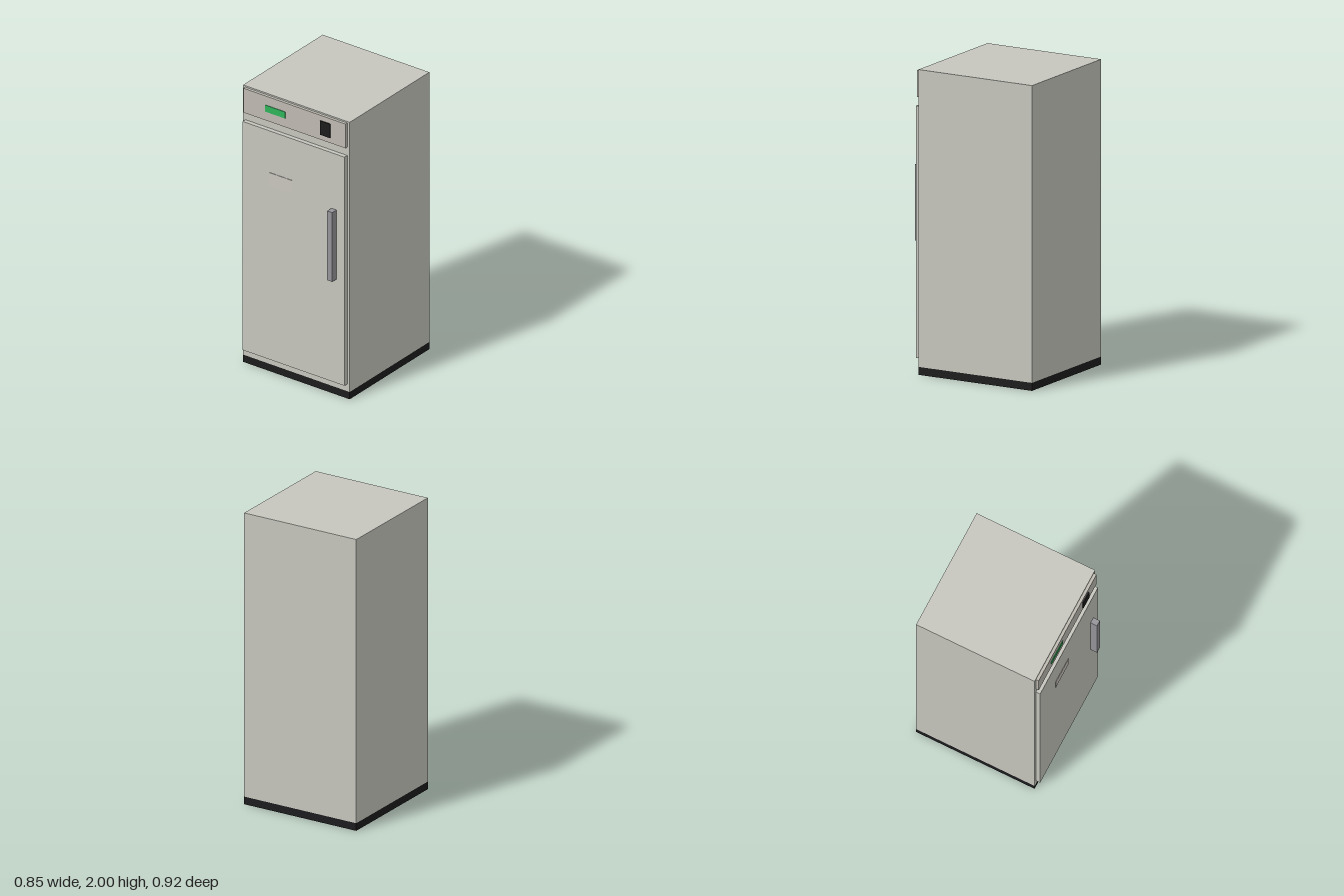
import * as THREE from 'three';

export function createModel() {
  const model = new THREE.Group();
  model.name = 'cabinet';

  const paint = (color) => new THREE.MeshStandardMaterial({ color });
  const shell = paint(0xc6c6be);
  const trim = paint(0xbfbbb2);
  const black = paint(0x1c1c1e);
  const green = paint(0x2fb45a);
  const metal = paint(0x95959a);
  const label = paint(0xcac5be);

  // Box given by its extents along each axis
  const block = (name, material, [x0, x1], [y0, y1], [z0, z1]) => {
    const mesh = new THREE.Mesh(new THREE.BoxGeometry(x1 - x0, y1 - y0, z1 - z0), material);
    mesh.position.set((x0 + x1) / 2, (y0 + y1) / 2, (z0 + z1) / 2);
    mesh.name = name;
    model.add(mesh);
  };

  const back = -0.462, face = 0.386, doorFace = 0.416, panelFace = 0.406;
  const width = [-0.424, 0.424], frontWidth = [-0.405, 0.405];

  // Housing on a dark plinth
  block('plinth', black, width, [0, 0.052], [back, face]);
  block('body', shell, width, [0.052, 2], [back, face]);

  // Door with handle and blank plate
  block('door', shell, frontWidth, [0.104, 1.755], [face, doorFace]);
  block('handle', metal, [0.302, 0.342], [0.854, 1.354], [doorFace, 0.462]);
  block('plate', label, [-0.192, -0.012], [1.358, 1.455], [doorFace, 0.419]);

  // Control panel with display and switch
  block('controlPanel', trim, frontWidth, [1.815, 1.99], [face, panelFace]);
  block('display', green, [-0.231, -0.071], [1.879, 1.926], [panelFace, 0.41]);
  block('powerSwitch', black, [0.208, 0.288], [1.854, 1.954], [panelFace, 0.414]);

  return model;
}
